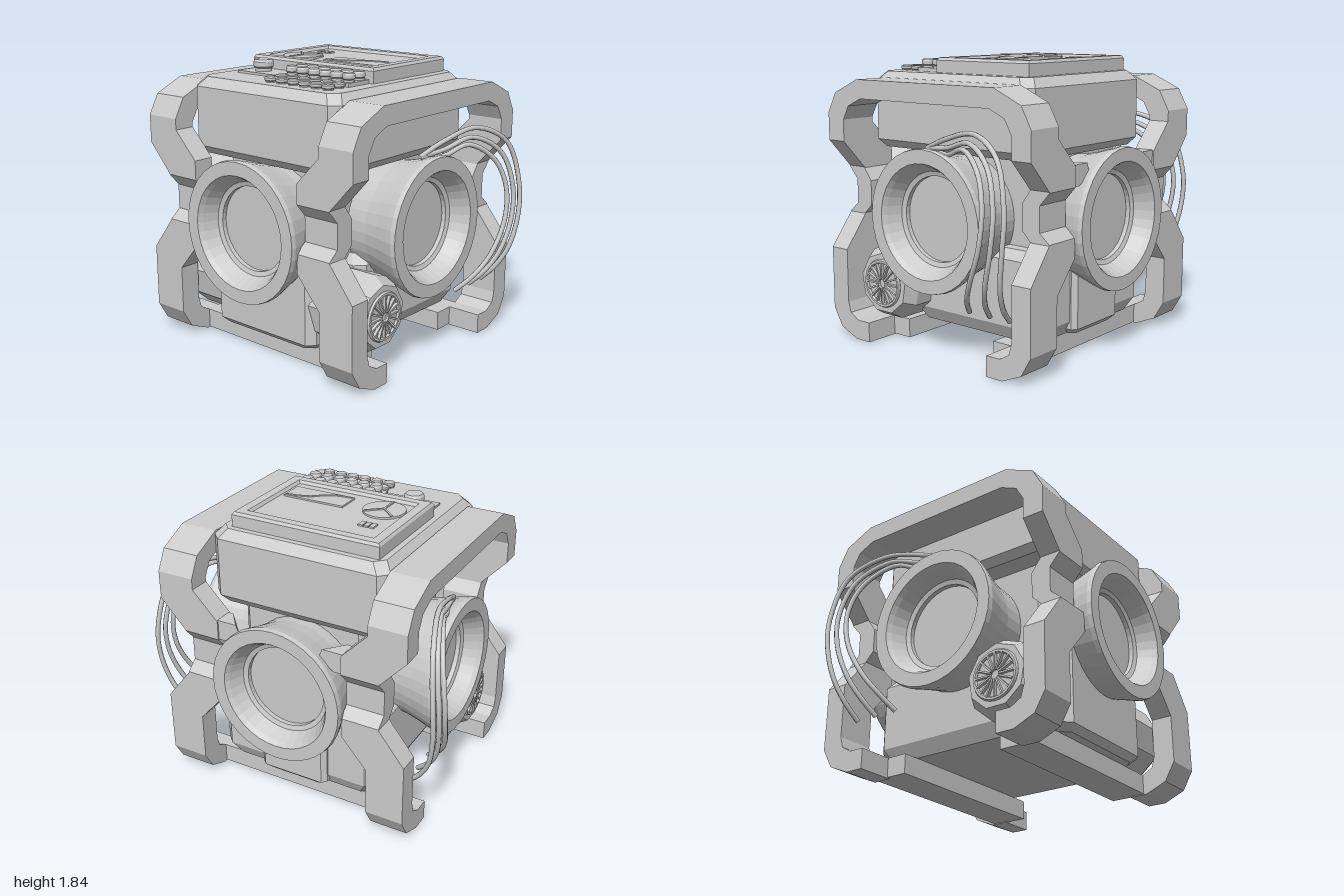
import * as THREE from 'three';
import { ConvexGeometry } from 'three/addons/geometries/ConvexGeometry.js';

const grey = new THREE.MeshStandardMaterial({ color: 0xcccccc, flatShading: true, side: THREE.DoubleSide });
const smooth = new THREE.MeshStandardMaterial({ color: 0xcccccc });

export function createModel() {
  const model = new THREE.Group();
  const add = (name, geometry, x = 0, y = 0, z = 0, material = grey) => {
    const mesh = new THREE.Mesh(geometry, material);
    mesh.name = name;
    mesh.position.set(x, y, z);
    model.add(mesh);
    return mesh;
  };

  // block with cut corners, from levels of [height, inset] around a rectangular plan
  const block = (name, x0, x1, z0, z1, cut, levels) => {
    const pts = [];
    for (const [y, inset] of levels)
      for (const sx of [-1, 1]) for (const sz of [-1, 1]) {
        const x = (sx < 0 ? x0 : x1) - sx * inset, z = (sz < 0 ? z0 : z1) - sz * inset;
        pts.push(new THREE.Vector3(x - sx * cut, y, z), new THREE.Vector3(x, y, z - sz * cut));
      }
    return add(name, new ConvexGeometry(pts));
  };
  const box = (name, x0, x1, y0, y1, z0, z1) =>
    add(name, new THREE.BoxGeometry(x1 - x0, y1 - y0, z1 - z0), (x0 + x1) / 2, (y0 + y1) / 2, (z0 + z1) / 2);

  // central body
  block('head', -0.605, 0.605, -0.62, 0.69, 0.06, [[1.25, 0.04], [1.3, 0], [1.68, 0], [1.74, 0.05]]);
  block('core', -0.43, 0.43, -0.54, 0.54, 0.04, [[0.5, 0], [1.3, 0]]);
  block('lowerBody', -0.56, 0.56, -0.66, 0.4, 0.06, [[0.13, 0.05], [0.22, 0], [0.64, 0], [0.7, 0.05]]);
  block('frontPanel', -0.42, 0.42, 0.2, 0.7, 0.05, [[0.13, 0.04], [0.17, 0], [0.71, 0]]);
  block('backPanel', -0.24, 0.24, -0.7, -0.3, 0.03, [[0.13, 0.04], [0.17, 0], [0.71, 0]]);

  // side cage: rectangular section swept from the front foot over the top to the back foot
  // [outer z, outer y, inner z, inner y, centre x, skew of the bend]
  const half = [
    [0.5, 0, 0.5, 0.13, 0.725, 0], [0.62, 0, 0.6, 0.13, 0.725, 0],
    [0.76, 0.06, 0.67, 0.17, 0.725, 0], [0.83, 0.18, 0.69, 0.24, 0.725, 0],
    [0.83, 0.54, 0.69, 0.54, 0.725, -0.05], [0.83, 0.745, 0.69, 0.745, 0.555, -0.06],
    [0.83, 0.81, 0.69, 0.81, 0.555, 0], [0.76, 0.87, 0.63, 0.87, 0.555, 0],
    [0.76, 1.03, 0.63, 1.03, 0.555, 0], [0.83, 1.11, 0.69, 1.11, 0.555, 0],
    [0.83, 1.175, 0.69, 1.175, 0.555, 0.06], [0.83, 1.355, 0.69, 1.355, 0.725, 0.055],
    [0.83, 1.48, 0.69, 1.44, 0.725, 0], [0.76, 1.61, 0.64, 1.53, 0.725, 0],
    [0.56, 1.7, 0.53, 1.58, 0.725, 0],
  ];
  const path = [...half, ...half.map(([a, b, c, d, x, k]) => [-a, b, -c, d, x, k]).reverse()];
  const sections = path.map(([zo, yo, zi, yi, x, k]) => [
    [x + 0.125, yo - k, zo], [x - 0.125, yo + k, zo], [x - 0.125, yi + k, zi], [x + 0.125, yi - k, zi],
  ]);
  const verts = [];
  const quad = (a, b, c, d) => verts.push(...a, ...b, ...c, ...a, ...c, ...d);
  for (let i = 0; i < sections.length - 1; i++)
    for (let k = 0; k < 4; k++) {
      const s = sections[i], t = sections[i + 1], n = (k + 1) % 4;
      quad(s[k], t[k], t[n], s[n]);
    }
  quad(...sections[0]);
  quad(...[...sections[sections.length - 1]].reverse());
  const cage = new THREE.BufferGeometry();
  cage.setAttribute('position', new THREE.Float32BufferAttribute(verts, 3));
  cage.computeVertexNormals();
  add('leftCage', cage);
  add('rightCage', cage).rotation.y = Math.PI;
  for (const s of [-1, 1]) {
    const z = s * 0.48;
    box('footBar', -0.62, 0.62, 0.005, 0.13, z - 0.12, z + 0.12);
    // gussets tying the cage to the back port
    const gusset = [[0.27, 1.17, -0.82], [0.38, 1.11, -0.82], [0.44, 1.11, -0.82], [0.44, 1.24, -0.82], [0.3, 1.24, -0.82],
      [0.4, 1.11, -0.7], [0.44, 1.11, -0.7], [0.44, 1.24, -0.7], [0.4, 1.24, -0.7]];
    add('backGusset', new ConvexGeometry(gusset.map(([x, y, zz]) => new THREE.Vector3(s * x, y, zz))));
  }

  // four round ports with flared rims and recessed discs
  const portProfile = [[0.37, 0.45], [0.385, 0.62], [0.41, 0.72], [0.44, 0.82], [0.45, 0.86], [0.445, 0.89],
    [0.36, 0.89], [0.34, 0.86], [0.3, 0.77], [0.27, 0.76], [0.27, 0.73], [0, 0.73]];
  ['frontPort', 'leftPort', 'backPort', 'rightPort'].forEach((name, i) => {
    const shift = i % 2 ? -0.04 : 0;
    const pts = portProfile.map(([r, h]) => new THREE.Vector2(r, h + shift));
    const port = add(name, new THREE.LatheGeometry(pts, 36).rotateX(Math.PI / 2), 0, 0.86, 0);
    port.rotation.y = i * Math.PI / 2;
  });

  for (const s of [-1, 1]) {
    // nine-sided gauge with a spoked dial
    const gauge = new THREE.Group();
    gauge.name = s > 0 ? 'leftGauge' : 'rightGauge';
    const part = (name, geometry) => {
      const mesh = new THREE.Mesh(geometry, grey);
      mesh.name = name;
      gauge.add(mesh);
      return mesh;
    };
    const housing = [[0, 0.36], [0.25, 0.36], [0.25, 0.69], [0.2, 0.77], [0, 0.77]];
    part('gaugeHousing', new THREE.LatheGeometry(housing.map(p => new THREE.Vector2(...p)), 9, -s * Math.PI / 2));
    part('gaugeRim', new THREE.TorusGeometry(0.145, 0.014, 6, 28).rotateX(Math.PI / 2)).position.y = 0.775;
    for (let i = 0; i < 16; i++) {
      const spoke = part('gaugeSpoke', new THREE.BoxGeometry(0.11, 0.03, 0.011).translate(0.085, 0, 0));
      spoke.position.y = 0.775;
      spoke.rotation.y = i * Math.PI / 8;
    }
    gauge.rotation.z = -s * Math.PI / 2;
    gauge.position.set(0, 0.39, 0.44);
    model.add(gauge);

    // cables looping from the side port down to the lower body
    [[1.33, -0.58, -0.31], [1.37, -0.66, -0.47], [1.425, -0.74, -0.62]].forEach(([top, out, end]) => {
      const mix = t => out + (end - out) * t;
      const pts = [[0.74, 1.3, 0.06], [0.78, top - 0.05, -0.14], [0.84, top, out * 0.56], [0.925, top - 0.12, out * 0.88],
        [0.975, 1.02, out], [0.983, 0.8, mix(0.08)], [0.945, 0.58, mix(0.45)], [0.87, 0.44, mix(0.78)],
        [0.78, 0.345, end]].map(([x, y, z]) => new THREE.Vector3(s * x, y, z));
      add('cable', new THREE.TubeGeometry(new THREE.CatmullRomCurve3(pts), 40, 0.016, 8), 0, 0, 0, smooth);
    });
  }

  // display on top: raised rim around a sunken screen
  const rect = (T, x0, x1, z0, z1) => new T([[x0, z0], [x1, z0], [x1, z1], [x0, z1]].map(p => new THREE.Vector2(...p)));
  const rim = rect(THREE.Shape, -0.505, 0.48, -0.195, 0.52);
  rim.holes.push(rect(THREE.Path, -0.445, 0.42, -0.14, 0.465));
  add('displayRim', new THREE.ExtrudeGeometry(rim, {
    depth: 0.082, bevelThickness: 0.018, bevelSize: 0.012, bevelSegments: 1,
  }).rotateX(-Math.PI / 2), 0, 1.735, 0);
  box('screen', -0.48, 0.455, 1.72, 1.815, -0.5, 0.18);

  // pie chart, line chart and battery sign on the screen
  add('pieChart', new THREE.CylinderGeometry(0.135, 0.135, 0.02, 32), -0.29, 1.817, -0.03);
  for (const a of [0.72, 2.4, 4.71])
    add('pieDivider', new THREE.BoxGeometry(0.13, 0.012, 0.012).translate(0.065, 0, 0), -0.29, 1.829, -0.03).rotation.y = a;
  box('chartPanel', -0.04, 0.38, 1.805, 1.826, -0.11, 0.055);
  const line = [[-0.03, 0.04], [0.07, 0.03], [0.15, -0.01], [0.21, -0.06], [0.28, -0.085], [0.37, -0.1]];
  add('chartLine', new THREE.TubeGeometry(
    new THREE.CatmullRomCurve3(line.map(([x, z]) => new THREE.Vector3(x, 1.826, z))), 24, 0.008, 6));
  for (let i = 0; i < 3; i++) box('batteryCell', -0.36 + i * 0.037, -0.33 + i * 0.037, 1.805, 1.825, -0.31, -0.25);

  // keypad: stepped base, knob and four rows of buttons
  box('keypadBase', -0.47, 0.46, 1.72, 1.755, 0.19, 0.4);
  box('keypadStep', -0.1, 0.46, 1.72, 1.765, 0.19, 0.4);
  const knobProfile = [[0.055, 0], [0.055, 0.02], [0.065, 0.03], [0.065, 0.06], [0.055, 0.075], [0, 0.075]];
  const turned = (scale, tall) => new THREE.LatheGeometry(
    knobProfile.map(([r, h]) => new THREE.Vector2(r * scale, h * tall)), 20);
  add('knob', turned(1, 1), -0.335, 1.755, 0.3);
  for (let r = 0; r < 4; r++)
    for (let c = 0; c < 6; c++)
      add('button', turned(0.6, r < 2 ? 0.75 : 0.5), -0.04 + c * 0.092, r < 2 ? 1.763 : 1.737, 0.256 + r * 0.094);

  return model;
}
